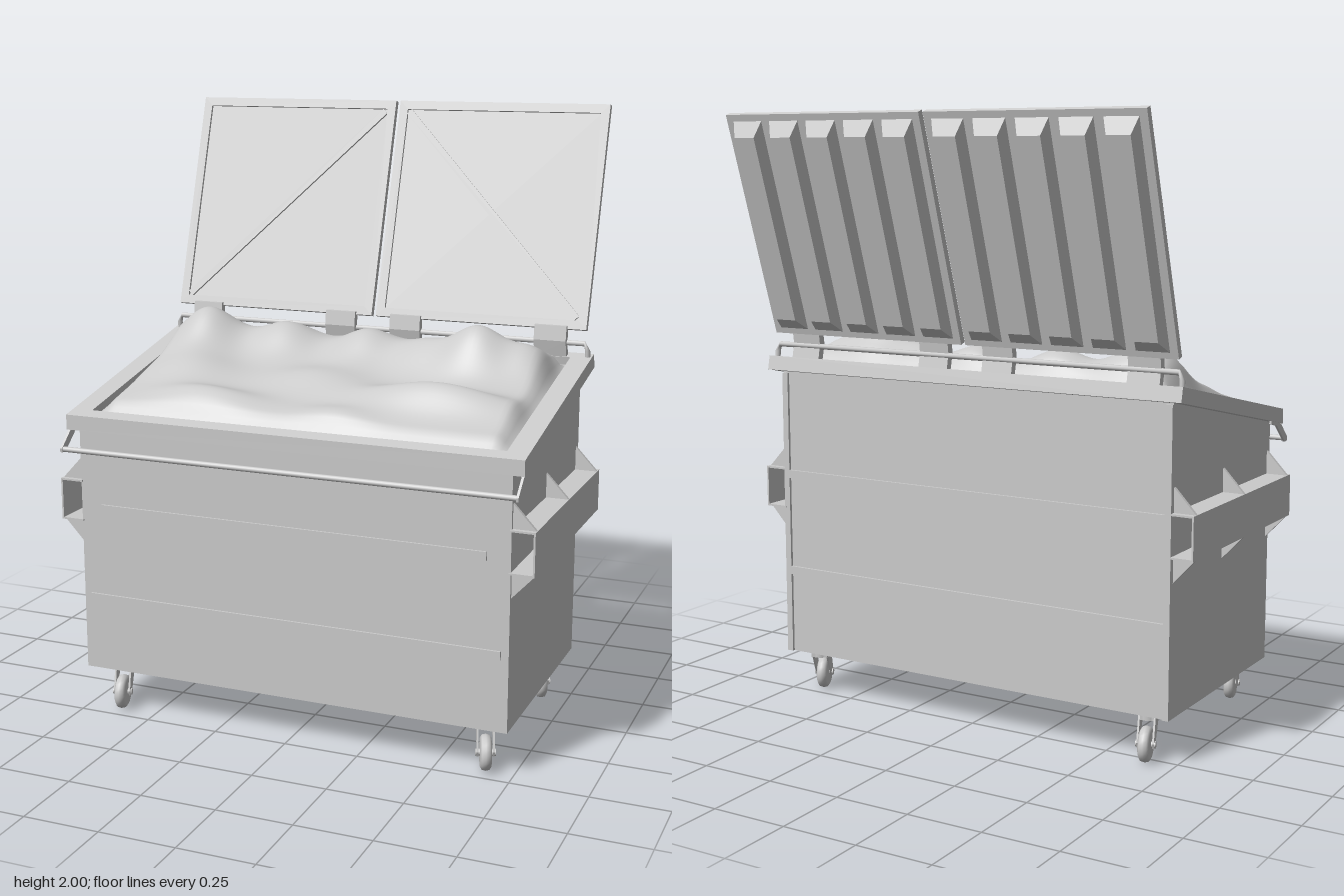
import * as THREE from 'three';

const mat = new THREE.MeshStandardMaterial({ color: 0xcccccc });
const flat = new THREE.MeshStandardMaterial({ color: 0xcccccc, flatShading: true });
const thin = new THREE.MeshStandardMaterial({ color: 0xcccccc, side: THREE.DoubleSide });

function add(parent, name, geo, x = 0, y = 0, z = 0, m = mat) {
  const mesh = new THREE.Mesh(geo, m);
  mesh.name = name;
  mesh.position.set(x, y, z);
  parent.add(mesh);
  return mesh;
}
const box = (parent, name, w, h, d, x, y, z) => add(parent, name, new THREE.BoxGeometry(w, h, d), x, y, z);

function group(parent, name, x = 0, y = 0, z = 0) {
  const g = new THREE.Group();
  g.name = name;
  g.position.set(x, y, z);
  parent.add(g);
  return g;
}

const polygon = pts => new THREE.Shape(pts.map(p => new THREE.Vector2(p[0], p[1])));
const extrude = (shape, depth) => new THREE.ExtrudeGeometry(shape, { depth, bevelEnabled: false });

// Extrudes a [z, y] side profile along x, centred on x = 0
function sideProfile(pts, width) {
  const g = extrude(polygon(pts.map(([z, y]) => [-z, y])), width);
  return g.translate(0, 0, -width / 2).rotateY(Math.PI / 2);
}

function tube(pts, r) {
  const path = new THREE.CurvePath();
  const v = pts.map(p => new THREE.Vector3(...p));
  for (let i = 1; i < v.length; i++) path.add(new THREE.LineCurve3(v[i - 1], v[i]));
  return new THREE.TubeGeometry(path, 48, r, 8);
}

// Height of the sloping rim plane
const SLOPE = 0.211;
const rimY = z => 1.02 + (0.495 - z) * SLOPE;

// Heap of rubbish: rounded bumps [x, z, height, width x, width z] over the sloping plane
const bumps = [
  [-0.55, -0.09, 0.14, 0.13, 0.13], [-0.27, -0.13, 0.09, 0.13, 0.12], [0.03, -0.13, 0.085, 0.12, 0.12],
  [0.24, -0.11, 0.06, 0.1, 0.12], [0.44, -0.08, 0.145, 0.13, 0.12], [0.62, -0.1, 0.06, 0.08, 0.1],
  [-0.35, 0.33, 0.045, 0.2, 0.07], [0.4, 0.22, 0.075, 0.26, 0.08], [-0.05, 0.12, 0.035, 0.18, 0.1],
  [-0.5, 0.14, 0.05, 0.16, 0.12], [0.12, 0.36, 0.025, 0.14, 0.06],
];
function heapGeometry() {
  const g = new THREE.PlaneGeometry(1.42, 0.73, 90, 50).rotateX(-Math.PI / 2).translate(0, 0, 0.085);
  const p = g.attributes.position;
  for (let i = 0; i < p.count; i++) {
    const x = p.getX(i), z = p.getZ(i);
    let h = 0.012;
    for (const [bx, bz, a, sx, sz] of bumps) h += a * Math.exp(-(((x - bx) / sx) ** 2) - ((z - bz) / sz) ** 2);
    const edge = THREE.MathUtils.smoothstep(0.71 - Math.abs(x), 0, 0.06)
      * THREE.MathUtils.smoothstep(0.365 - Math.abs(z - 0.085), 0, 0.07);
    p.setY(i, rimY(z) - 0.03 + edge * (h + 0.03));
  }
  g.computeVertexNormals();
  return g;
}

// Tapered stiffening rib on a lid's outer side
function ribGeometry() {
  const g = new THREE.BoxGeometry(0.115, 0.725, 0.036);
  const p = g.attributes.position;
  for (let i = 0; i < p.count; i++) {
    if (p.getZ(i) < 0) p.setXYZ(i, p.getX(i) * 0.68, p.getY(i) * 0.87, p.getZ(i));
  }
  return g;
}

function addLid(parent, side) {
  const lid = group(parent, side > 0 ? 'leftLid' : 'rightLid', side * 0.381, 1.275, -0.275);
  lid.rotation.x = -0.313;
  const w = 0.746, h = 0.762, b = 0.03;
  box(lid, 'lidPanel', w, h, 0.012, 0, h / 2, -0.016);
  const frame = polygon([[-w / 2, 0], [w / 2, 0], [w / 2, h], [-w / 2, h]]);
  const x = w / 2 - b;
  frame.holes.push(polygon([[-x, b], [-x, h - b], [x, h - b], [x, b]]));
  add(lid, 'lidFrame', extrude(frame, 0.012), 0, 0, -0.012);
  // Diagonal brace from the lower outer to the upper inner corner
  const dx = 2 * x, dy = h - 2 * b;
  const brace = box(lid, 'lidBrace', Math.hypot(dx, dy) - 0.02, 0.022, 0.011, 0, h / 2, -0.0065);
  brace.rotation.z = -side * Math.atan2(dy, dx);
  for (let i = -2; i <= 2; i++) add(lid, 'lidRib', ribGeometry(), i * 0.145, 0.38, -0.038, flat);
}

// Swivel caster trailing along +z, turned by yaw
function addCaster(parent, x, z, yaw) {
  const c = group(parent, 'caster', x, 0, z);
  c.rotation.y = yaw;
  add(c, 'casterMount', new THREE.CylinderGeometry(0.032, 0.032, 0.025, 16), 0, 0.14, 0);
  const wheel = new THREE.LatheGeometry([[0, -0.018], [0.044, -0.018], [0.054, -0.012], [0.057, 0],
    [0.054, 0.012], [0.044, 0.018], [0, 0.018]].map(p => new THREE.Vector2(...p)), 24).rotateZ(Math.PI / 2);
  add(c, 'casterWheel', wheel, 0, 0.057, 0.042);
  add(c, 'casterAxle', new THREE.CylinderGeometry(0.011, 0.011, 0.064, 10).rotateZ(Math.PI / 2), 0, 0.057, 0.042);
  const fork = [[-0.028, 0.145], [0.028, 0.145], [0.056, 0.062], [0.05, 0.046], [0.034, 0.046]];
  for (const s of [-1, 1]) add(c, 'casterFork', sideProfile(fork, 0.006), s * 0.025, 0, 0);
  box(c, 'casterBridge', 0.056, 0.014, 0.056, 0, 0.135, 0);
}

export function createModel() {
  const model = new THREE.Group();
  model.name = 'dumpster';

  // Bin body with its sloping top
  add(model, 'body', sideProfile([[0.48, 0.15], [0.48, 0.985], [-0.285, 1.145], [-0.285, 0.15]], 1.47));
  for (const [y, w] of [[0.71, 1.32], [0.4, 1.42]]) box(model, 'frontRail', w, 0.028, 0.012, 0, y, 0.481);
  for (const y of [0.78, 0.44]) box(model, 'backRail', 1.43, 0.028, 0.014, 0, y, -0.287);

  // Rim around the opening
  const rim = polygon([[-0.775, -0.823], [0.775, -0.823], [0.775, 0], [-0.775, 0]]);
  rim.holes.push(polygon([[-0.705, -0.78], [-0.705, -0.05], [0.705, -0.05], [0.705, -0.78]]));
  const rimMesh = add(model, 'rim', extrude(rim, 0.048).rotateX(Math.PI / 2), 0, 1.02, 0.495);
  rimMesh.rotation.x = Math.atan(SLOPE);
  box(model, 'frontLip', 1.55, 0.05, 0.014, 0, 0.995, 0.488);
  add(model, 'rubbish', heapGeometry(), 0, 0, 0, thin);

  // Front bar on two slanting arms
  add(model, 'frontBar', new THREE.CylinderGeometry(0.009, 0.009, 1.54, 10).rotateZ(Math.PI / 2), 0, 0.914, 0.533);
  const arm = [[0.4, 1.0], [0.47, 0.985], [0.545, 0.918], [0.543, 0.905], [0.525, 0.903], [0.45, 0.968], [0.4, 0.98]];
  for (const s of [-1, 1]) add(model, 'barArm', sideProfile(arm, 0.008), s * 0.768, 0, 0);

  // Lid hinges on a rod behind the opening
  add(model, 'hingeRod', tube([[-0.76, 1.17, -0.285], [-0.76, 1.228, -0.28], [0.76, 1.228, -0.28],
    [0.76, 1.17, -0.285]], 0.009));
  const hinge = [[-0.265, 1.285], [-0.258, 1.235], [-0.272, 1.175], [-0.295, 1.175], [-0.283, 1.235], [-0.29, 1.285]];

  for (const s of [-1, 1]) {
    addLid(model, s);
    for (const x of [0.635, 0.12]) add(model, 'hinge', sideProfile(hinge, 0.11), s * x, 0, 0);
    box(model, 'backPost', 0.022, 0.98, 0.012, s * 0.724, 0.64, -0.288);

    // Open fork pocket with triangular gussets
    const pocket = group(model, s > 0 ? 'leftForkPocket' : 'rightForkPocket');
    box(pocket, 'pocketWall', 0.006, 0.14, 0.78, s * 0.807, 0.73, 0.095);
    for (const y of [0.663, 0.797]) box(pocket, 'pocketPlate', 0.08, 0.006, 0.78, s * 0.77, y, 0.095);
    for (const z of [0.463, 0.097, -0.269]) {
      for (const [y, dir] of [[0.8, 1], [0.66, -1]]) {
        const tri = [[s * 0.733, y], [s * 0.808, y], [s * 0.733, y + dir * 0.08]];
        add(pocket, 'gusset', extrude(polygon(tri), 0.012), 0, 0, z - 0.006);
      }
    }
  }

  // Casters, each swivelled a little differently
  addCaster(model, -0.64, 0.395, 0.25);
  addCaster(model, 0.64, 0.395, 0.35);
  addCaster(model, -0.64, -0.232, Math.PI + 0.25);
  addCaster(model, 0.64, -0.228, 0.4);
  return model;
}
